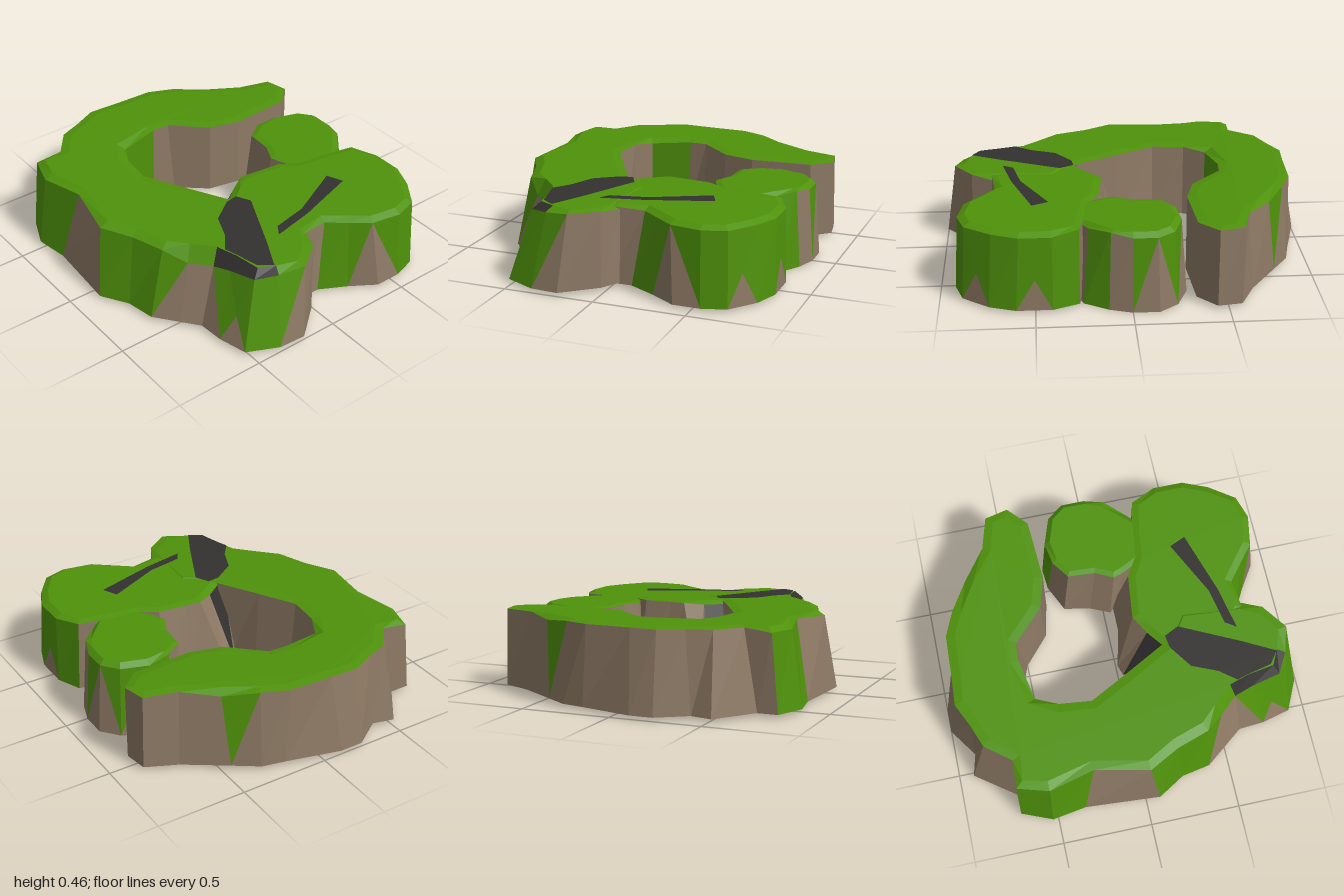
import * as THREE from 'three';

const mat = (name, color) => Object.assign(new THREE.MeshStandardMaterial({ color }), { name });

// Rows run counter-clockwise seen from above: foot x, foot z, shoulder x, shoulder z, paint, own shoulder drop.
// Paint of the wall to the next row: G grass, B rock, u/v grass hanging over rock, t grass with a low
// rock tooth, s dark over rock, o open passage; a following d makes the shoulder slope dark
const crescent = [
  [-.44, -.86, -.44, -.86, 'B'], [-.57, -.84, -.57, -.83, 'B'], [-.65, -.67, -.62, -.65, 'B'],
  [-.80, -.45, -.75, -.48, 'u'], [-.89, -.32, -.85, -.31, 'B'], [-.92, -.19, -.91, -.17, 'B'],
  [-1, .11, -.92, .08, 'B'], [-1, .24, -.93, .23, 'B'], [-.89, .40, -.87, .36, 'B'],
  [-.92, .52, -.82, .49, 'B'], [-.70, .68, -.68, .60, 'B'], [-.70, .79, -.69, .75, 'G'],
  [-.53, .86, -.52, .80, 'G'], [-.34, .83, -.27, .74, 'B'], [.08, .86, .03, .80, 'G'],
  [.23, .77, .20, .71, 'G'], [.39, .74, .38, .65, 'u'], [.52, .64, .48, .56, 'B', .09],
  [.61, .57, .58, .47, 'vd', .09], [.75, .56, .68, .44, 'td', .07], [.91, .52, .84, .41, 'Gd', .04],
  [.99, .35, .90, .30, 'u'], [1, .20, .94, .16, 'B'], [.85, .02, .84, .02, 'B'],
  [.75, -.04, .72, -.04, 'o'], [.38, -.06, .38, -.06, 'o'], [.15, .17, .25, .12, 'B'],
  [0, .23, .01, .25, 'B'], [-.20, .33, -.20, .36, 'B'], [-.38, .34, -.38, .34, 'B'],
  [-.50, .28, -.50, .28, 'G'], [-.545, .06, -.545, .05, 'B'], [-.50, -.06, -.54, -.05, 'B'],
  [-.36, -.22, -.37, -.23, 'B'], [-.32, -.41, -.32, -.41, 'B'], [-.34, -.75, -.34, -.75, 'B'],
];
const backKnoll = [
  [0, -.87, 0, -.84, 'u'], [-.14, -.87, -.13, -.84, 'v'], [-.24, -.79, -.22, -.77, 'u'],
  [-.30, -.64, -.27, -.62, 'G'], [-.29, -.52, -.25, -.49, 'B'], [-.22, -.37, -.18, -.39, 'B'],
  [-.07, -.34, -.03, -.38, 'B'], [.04, -.29, .07, -.33, 'B'], [.11, -.35, .13, -.35, 'B'],
  [.27, -.48, .29, -.43, 'B'], [.30, -.60, .32, -.58, 'B'], [.25, -.75, .22, -.70, 'G'],
  [.12, -.83, .11, -.80, 'B'],
];
const rightKnoll = [
  [.60, -.84, .58, -.83, 't'], [.41, -.84, .41, -.83, 'G'], [.27, -.78, .27, -.76, 'B'],
  [.24, -.60, .23, -.58, 'B'], [.22, -.46, .21, -.42, 'B'], [.06, -.33, .15, -.32, 'B'],
  [.06, -.16, .13, -.16, 'B'], [.01, .05, .12, -.07, 'B'], [.03, .11, .18, .03, 's'],
  [.17, .20, .30, .19, 'o'], [.50, .24, .50, .24, 'o'], [.75, .02, .73, 0, 'B'],
  [.75, -.11, .71, -.17, 'G'], [.83, -.26, .79, -.27, 'u'], [.92, -.40, .87, -.37, 'v'],
  [.92, -.55, .90, -.54, 'G'], [.88, -.68, .86, -.67, 't'], [.74, -.79, .72, -.77, 'G'],
];

// Moves a counter-clockwise ring inward by d and sets new heights
function inset(ring, d, y) {
  const n = ring.length;
  return ring.map((p, i) => {
    const a = ring[(i + n - 1) % n], b = ring[(i + 1) % n];
    const ex = b[0] - a[0], ez = b[2] - a[2], l = Math.hypot(ex, ez);
    return [p[0] + ez / l * d, y(p), p[2] - ex / l * d];
  });
}

// Flat-shaded mesh from a list of triangles
function facets(name, tris, material) {
  const g = new THREE.BufferGeometry();
  g.setAttribute('position', new THREE.Float32BufferAttribute(tris.flat(2), 3));
  g.computeVertexNormals();
  const mesh = new THREE.Mesh(g, material);
  mesh.name = name;
  return mesh;
}

const cap = ring => THREE.ShapeUtils
  .triangulateShape(ring.map(p => new THREE.Vector2(p[0], -p[2])), [])
  .map(t => t.map(i => ring[i]));

export function createModel() {
  const grass = mat('grass green', 0x4f920b);
  const rock = mat('rock brown', 0x8e7a65);
  const dark = mat('dark stone', 0x333130);
  const model = new THREE.Group();
  model.name = 'rockyPlateau';

  // Hollow thick-walled mound with a sloped shoulder and a grass crown, open underneath
  function mound(name, rows, footY, topY, drop, bevel) {
    const foot = rows.map(r => [r[0], footY, r[1]]);
    // rock edges stay sharp, grassy ones are rounded off
    const top = rows.map(r => [r[2], topY(r[2]) - (r[5] ?? (r[4] === 'B' ? 0.008 : drop)), r[3]]);
    const crown = inset(top, bevel, p => topY(p[0]));
    const footIn = inset(foot, 0.03, p => p[1]);
    const topIn = inset(top, 0.03, p => p[1] - 0.03);
    const green = cap(crown), brown = [], black = [];
    rows.forEach((r, i) => {
      const j = (i + 1) % rows.length, paint = r[4][0];
      const a = foot[i], b = foot[j], c = top[j], d = top[i];
      // shoulder slope
      (r[4][1] === 'd' ? black : green).push([d, c, crown[j]], [d, crown[j], crown[i]]);
      if (paint === 'o') return;
      // outer wall
      if (paint === 't') {
        const apex = a.map((v, k) => (v + b[k]) * 0.29 + (c[k] + d[k]) * 0.21);
        brown.push([a, b, apex]);
        green.push([b, c, apex], [c, d, apex], [d, a, apex]);
      } else {
        const [low, high] = paint === 'v' ? [[a, b, d], [b, c, d]] : [[a, b, c], [a, c, d]];
        (paint === 'G' ? green : brown).push(low);
        (paint === 'B' ? brown : paint === 's' ? black : green).push(high);
      }
      // rim under the wall and the inner wall face
      brown.push([a, footIn[i], footIn[j]], [a, footIn[j], b]);
      brown.push([footIn[i], topIn[j], footIn[j]], [footIn[i], topIn[i], topIn[j]]);
    });
    // ceiling of the hollow
    brown.push(...cap(topIn).map(t => t.reverse()));
    const group = new THREE.Group();
    group.name = name;
    group.add(facets(name + 'Grass', green, grass), facets(name + 'Rock', brown, rock));
    if (black.length) group.add(facets(name + 'DarkFace', black, dark));
    model.add(group);
  }
  const ridgeY = x => 0.447 - 0.012 * x;
  mound('crescentRidge', crescent, 0.02, ridgeY, 0.025, 0.05);
  mound('backKnoll', backKnoll, 0, () => 0.43, 0.025, 0.03);
  mound('rightKnoll', rightKnoll, 0.015, () => 0.437, 0.02, 0.04);

  // Dark stone patches lying on the grass
  const plate = (name, pts) =>
    model.add(facets(name, cap(pts.map(([x, z]) => [x, ridgeY(x) + 0.005, z])), dark));
  plate('darkSlab', [[.27, .08], [.28, .15], [.37, .28], [.51, .34], [.60, .41], [.67, .39],
    [.80, .36], [.85, .29], [.68, .20], [.35, .04]]);
  plate('darkStreak', [[.42, -.44], [.57, -.13], [.61, .07], [.67, .11], [.62, -.13], [.51, -.48]]);
  return model;
}
